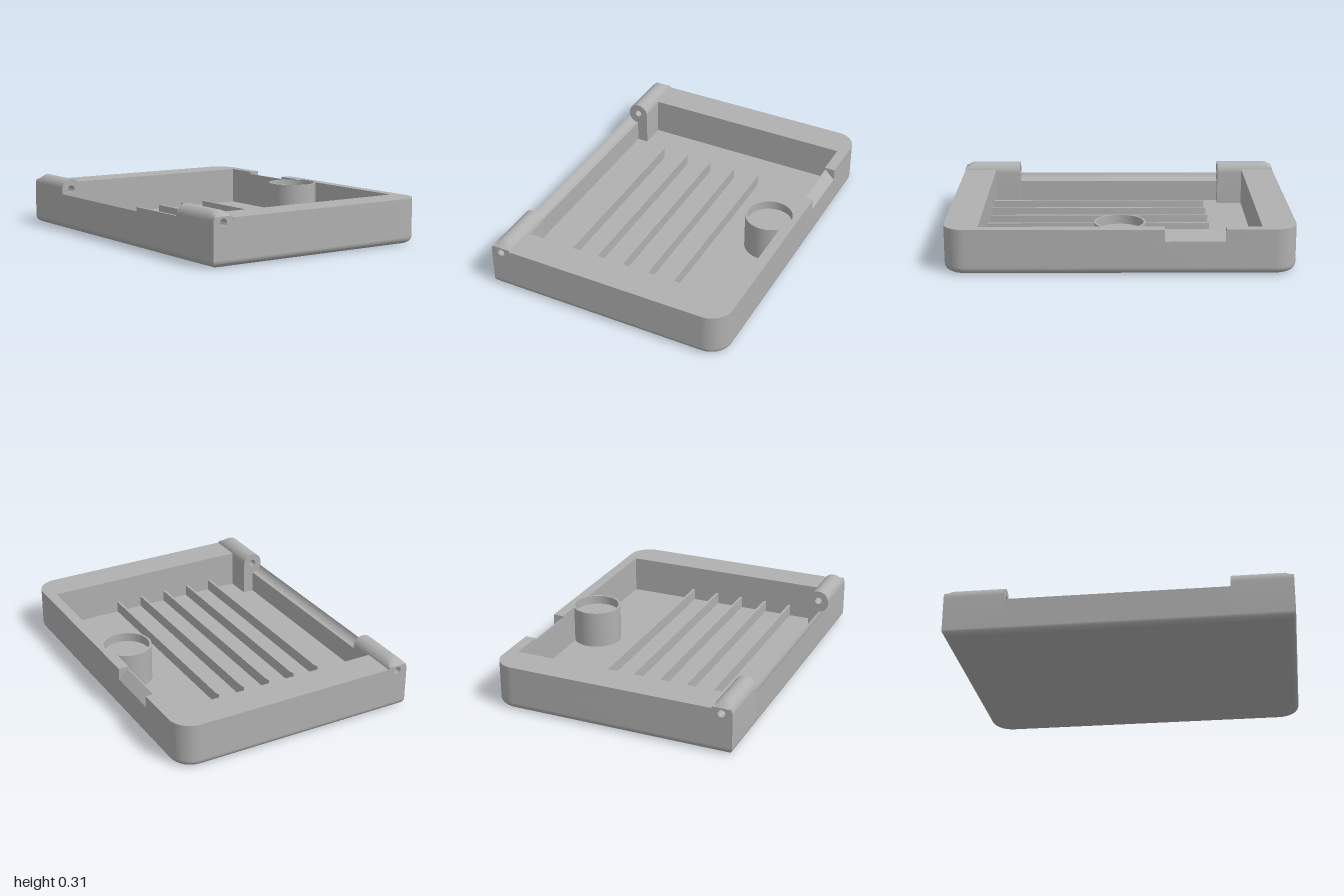
import * as THREE from 'three';
import { toCreasedNormals } from 'three/addons/utils/BufferGeometryUtils.js';

const X = 0.735, R = 0.13, FLOOR = 0.04, TOP = 0.265, LEDGE = 0.195;
const CX = X - R, CZ = 1 - R;          // centres of the rounded corners
const INNER = 0.672, STRIP = -0.609;   // inner faces of the tray walls
const HINGE_X = -0.672, HINGE_Y = 0.243, HINGE_R = 0.063, HINGE_Z = 0.645;
const CUP_X = 0.565;

export function createModel() {
  const model = new THREE.Group();
  const gray = new THREE.MeshStandardMaterial({ color: 0xb0b0b0 });

  const add = (name, geometry) => {
    const mesh = new THREE.Mesh(toCreasedNormals(geometry, 0.6), gray);
    mesh.name = name;
    model.add(mesh);
    return mesh;
  };
  // Plan outline (shape y = -z) raised from y0 to y1
  const raise = (shape, y0, y1, steps = 1) =>
    new THREE.ExtrudeGeometry(shape, { depth: y1 - y0, bevelEnabled: false, curveSegments: 14, steps })
      .rotateX(-Math.PI / 2).translate(0, y0, 0);
  // Side profile (x, y) run along z from z0 to z1
  const run = (shape, z0, z1, steps = 1) =>
    new THREE.ExtrudeGeometry(shape, { depth: z1 - z0, bevelEnabled: false, curveSegments: 20, steps })
      .translate(0, 0, z0);
  const outline = (points) => new THREE.Shape(points.map(([x, y]) => new THREE.Vector2(x, y)));

  // Base slab: bottom edge rounded by insetting the lower rows
  const plan = new THREE.Shape();
  plan.moveTo(-X, -1);
  plan.lineTo(CX, -1);
  plan.absarc(CX, -CZ, R, -Math.PI / 2, 0);
  plan.lineTo(X, CZ);
  plan.absarc(CX, CZ, R, 0, Math.PI / 2);
  plan.lineTo(-X, 1);
  const base = raise(plan, 0, FLOOR, 8);
  const p = base.attributes.position;
  for (let i = 0; i < p.count; i++) {
    const t = 1 - Math.min(1, Math.max(0, p.getY(i) / FLOOR));
    const inset = 0.045 * (1 - Math.sqrt(1 - t * t)), k = (R - inset) / R;
    const x = p.getX(i), z = p.getZ(i), over = Math.abs(z) - CZ;
    if (x > CX) p.setX(i, CX + (x - CX) * k);
    if (x < -0.6) p.setX(i, x + inset);
    if (over > 0) p.setZ(i, Math.sign(z) * (CZ + over * k));
  }
  add('base', base);

  // Lower walls: U shape, open towards the hinge side
  const lower = new THREE.Shape();
  lower.moveTo(STRIP, -1);
  lower.lineTo(CX, -1);
  lower.absarc(CX, -CZ, R, -Math.PI / 2, 0);
  lower.lineTo(X, CZ);
  lower.absarc(CX, CZ, R, 0, Math.PI / 2);
  lower.lineTo(STRIP, 1);
  lower.lineTo(STRIP, 0.8);
  lower.lineTo(INNER, 0.8);
  lower.lineTo(INNER, -0.8);
  lower.lineTo(STRIP, -0.8);
  add('lowerWalls', raise(lower, FLOOR, LEDGE));

  // Upper walls: front piece hollowed by the cup, back piece past the notch
  const a = Math.acos((INNER - CUP_X) / 0.142);
  const front = new THREE.Shape();
  front.moveTo(STRIP, -1);
  front.lineTo(CX, -1);
  front.absarc(CX, -CZ, R, -Math.PI / 2, 0);
  front.lineTo(X, 0.25);
  front.lineTo(INNER, 0.25);
  front.absarc(CUP_X, 0, 0.142, a, -a, true);
  front.lineTo(INNER, -0.8);
  front.lineTo(STRIP, -0.8);
  add('frontUpperWall', raise(front, LEDGE, TOP));

  const back = new THREE.Shape();
  back.moveTo(X, 0.595);
  back.lineTo(X, CZ);
  back.absarc(CX, CZ, R, 0, Math.PI / 2);
  back.lineTo(STRIP, 1);
  back.lineTo(STRIP, 0.8);
  back.lineTo(INNER, 0.8);
  back.lineTo(INNER, 0.595);
  add('backUpperWall', raise(back, LEDGE, TOP));

  // Sloping sill of the finger notch
  add('notchSill', run(outline([[INNER, LEDGE], [X, LEDGE], [INNER + 0.008, 0.25], [INNER, 0.25]]), -0.595, -0.25));

  // Hinge knuckles: barrel with pin hole on a pier, outer end eased
  for (const side of [1, -1]) {
    const knuckle = new THREE.Shape();
    knuckle.moveTo(-X, FLOOR);
    knuckle.lineTo(STRIP, FLOOR);
    knuckle.absarc(HINGE_X, HINGE_Y, HINGE_R, 0, Math.PI);
    const hole = new THREE.Path();
    hole.absarc(HINGE_X, HINGE_Y, 0.022, 0, Math.PI * 2, true);
    knuckle.holes.push(hole);
    const geometry = side > 0 ? run(knuckle, HINGE_Z, 1, 8) : run(knuckle, -1, -HINGE_Z, 8);
    const v = geometry.attributes.position;
    for (let i = 0; i < v.count; i++) {
      if (Math.abs(v.getZ(i)) > 0.99) v.setY(i, Math.min(v.getY(i), 0.275));
    }
    add(side > 0 ? 'frontHingeKnuckle' : 'backHingeKnuckle', geometry);
  }

  // Low wall between the knuckles, hollowed to clear a mating barrel
  const low = new THREE.Shape();
  low.moveTo(-X, FLOOR);
  low.lineTo(-0.677, FLOOR);
  low.lineTo(-0.677, 0.172);
  low.quadraticCurveTo(-0.722, 0.175, -X, 0.215);
  add('hingeSideWall', run(low, -HINGE_Z, HINGE_Z));

  // Floor ribs with pointed ends
  for (let i = 0; i < 5; i++) {
    const x = -0.427 + i * 0.168, w = 0.008;
    add('floorRib', raise(outline([[x - w, -0.8], [x + w, -0.8], [x + w, 0.52], [x, 0.545], [x - w, 0.52]]), FLOOR, 0.11));
  }

  // Round cup with a shallow recess
  const profile = [[0.147, FLOOR], [0.147, 0.263], [0.134, 0.263], [0.134, 0.21], [0, 0.21]];
  const cup = add('cup', new THREE.LatheGeometry(profile.map(([x, y]) => new THREE.Vector2(x, y)), 48));
  cup.position.x = CUP_X;

  return model;
}
